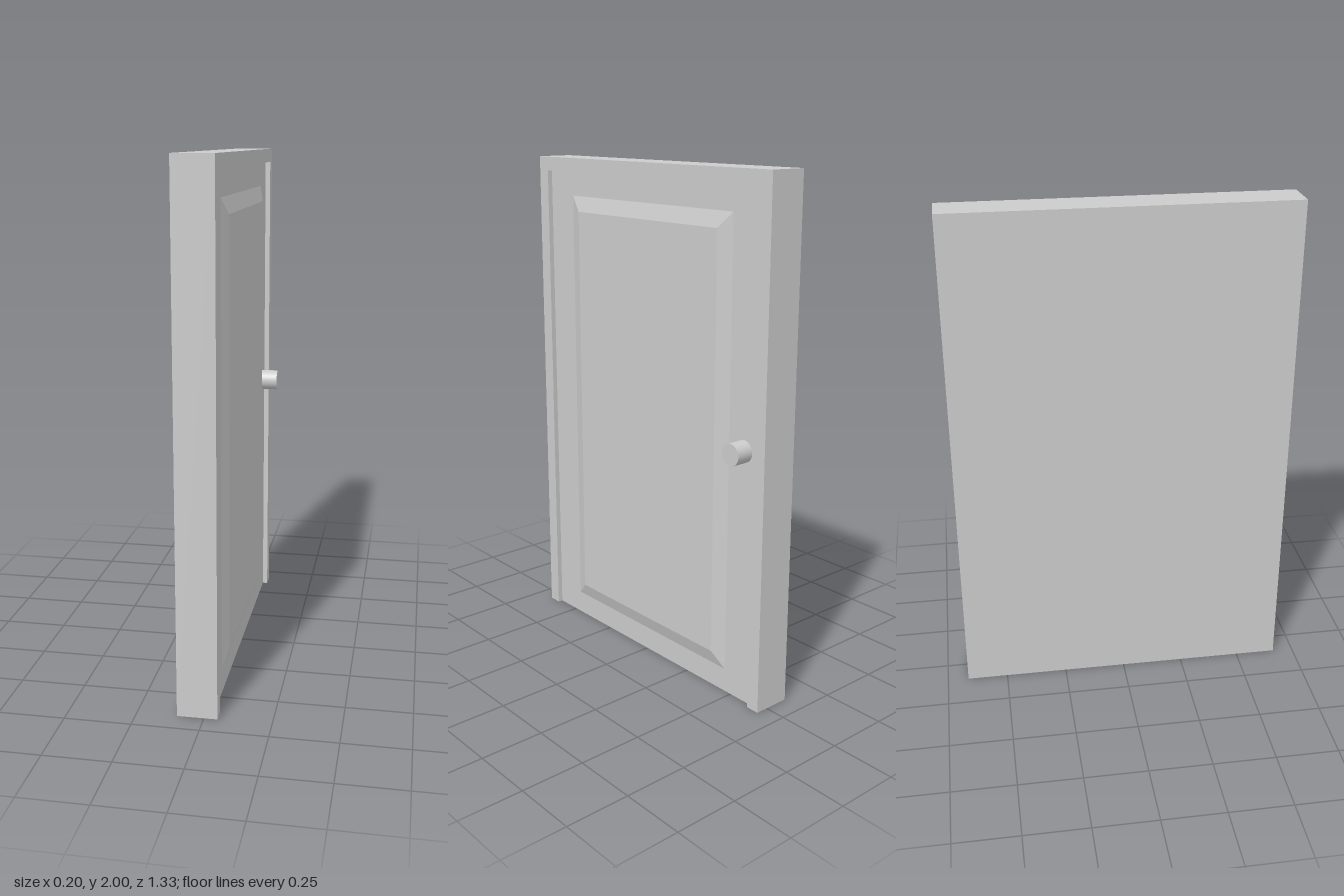
import * as THREE from 'three';

const HALF_W = 0.665, HEIGHT = 2;          // outer frame
const OPEN_W = 0.61, OPEN_H = 1.945;       // doorway opening
const BACK = -0.1, FRONT = 0.05, LEAF = 0.03; // depths along x

export function createModel() {
  const model = new THREE.Group();
  const material = new THREE.MeshStandardMaterial({ color: 0xcccccc });
  const add = (name, geometry, x, y, z) => {
    const mesh = new THREE.Mesh(geometry, material);
    mesh.name = name;
    mesh.position.set(x, y, z);
    model.add(mesh);
    return mesh;
  };

  // Frame: upside-down U, extruded through the wall thickness
  const outline = new THREE.Shape([
    [-HALF_W, 0], [-OPEN_W, 0], [-OPEN_W, OPEN_H], [OPEN_W, OPEN_H],
    [OPEN_W, 0], [HALF_W, 0], [HALF_W, HEIGHT], [-HALF_W, HEIGHT],
  ].map(([x, y]) => new THREE.Vector2(x, y)));
  const frame = new THREE.ExtrudeGeometry(outline, { depth: FRONT - BACK, bevelEnabled: false });
  frame.rotateY(Math.PI / 2);
  add('doorFrame', frame, BACK, 0, 0);

  // Door leaf, set slightly back from the frame's face
  add('doorLeaf', new THREE.BoxGeometry(LEAF - BACK, OPEN_H, OPEN_W * 2),
    (LEAF + BACK) / 2, OPEN_H / 2, 0);

  // Raised panel: a shallow box whose outer face is inset to slope its edges
  const raise = 0.019, inset = 0.06;
  const panel = new THREE.BoxGeometry(raise, 1.755, 0.93).toNonIndexed();
  const p = panel.attributes.position;
  for (let i = 0; i < p.count; i++) {
    if (p.getX(i) > 0) {
      p.setY(i, p.getY(i) - Math.sign(p.getY(i)) * inset);
      p.setZ(i, p.getZ(i) - Math.sign(p.getZ(i)) * inset);
    }
  }
  panel.computeVertexNormals();
  add('raisedPanel', panel, LEAF + raise / 2, 0.972, 0);

  // Round knob
  const knob = new THREE.CylinderGeometry(0.042, 0.042, 0.1 - LEAF, 32);
  knob.rotateZ(-Math.PI / 2);
  add('doorKnob', knob, (0.1 + LEAF) / 2, 1, -0.542);

  return model;
}
